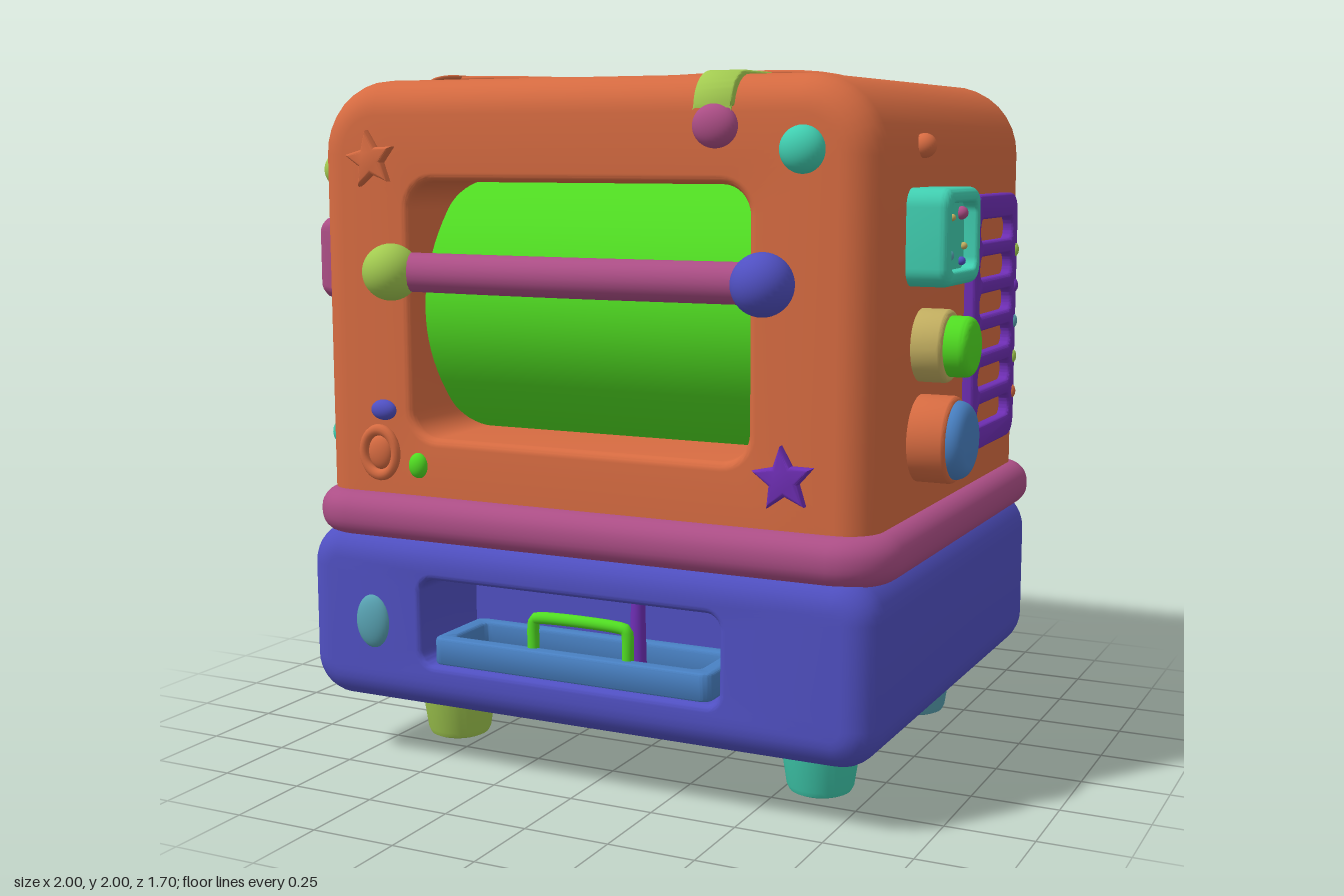
import * as THREE from 'three';
import { toCreasedNormals } from 'three/addons/utils/BufferGeometryUtils.js';

const palette = {
  orange: 0xd66b41, magenta: 0xac4e86, violet: 0x5050c2, lime: 0xa2ca50, green: 0x50dc22,
  teal: 0x40ceb0, blueTeal: 0x58a2b2, olive: 0xc2ae60, blue: 0x4880c2, purple: 0x6e2eb4,
};
const mats = {};
for (const [name, color] of Object.entries(palette)) {
  mats[name] = new THREE.MeshStandardMaterial({ color });
  mats[name].name = name;
}

function add(parent, name, color, geo, x = 0, y = 0, z = 0) {
  const m = new THREE.Mesh(geo, mats[color]);
  m.name = name;
  m.position.set(x, y, z);
  parent.add(m);
  return m;
}

// Skin through rounded rectangles [w, h, r, z, cx, cy]
function loft(rings) {
  const pos = [], idx = [], C = 8, N = 4 * (C + 1);
  for (const [w, h, r0, z, cx = 0, cy = 0] of rings) {
    const r = Math.max(0.004, Math.min(r0, w / 2 - 0.001, h / 2 - 0.001));
    for (let q = 0; q < 4; q++) for (let k = 0; k <= C; k++) {
      const a = (q + k / C) * Math.PI / 2;
      const sx = q === 0 || q === 3 ? 1 : -1, sy = q < 2 ? 1 : -1;
      pos.push(cx + sx * (w / 2 - r) + r * Math.cos(a), cy + sy * (h / 2 - r) + r * Math.sin(a), z);
    }
  }
  const L = rings.length;
  for (let i = 0; i < L - 1; i++) for (let j = 0; j < N; j++) {
    const k = (j + 1) % N, a = i * N + j, b = i * N + k;
    idx.push(a, b, b + N, a, b + N, a + N);
  }
  const first = rings[0], last = rings[L - 1];
  pos.push(first[4] || 0, first[5] || 0, first[3], last[4] || 0, last[5] || 0, last[3]);
  for (let j = 0; j < N; j++) {
    const k = (j + 1) % N;
    idx.push(L * N, k, j, L * N + 1, (L - 1) * N + j, (L - 1) * N + k);
  }
  const g = new THREE.BufferGeometry();
  g.setAttribute('position', new THREE.Float32BufferAttribute(pos, 3));
  g.setIndex(idx);
  return toCreasedNormals(g, 0.4);
}

// Rounded block along z, with an optional soft-lipped pocket in its front
function slab(w, h, r, z0, z1, b, hole) {
  const rings = [], S = 7;
  const turn = (s, from, to, zc, out) => {
    for (let i = 0; i <= S; i++) {
      const t = (from + (to - from) * i / S) * Math.PI / 2;
      const d = s * (1 - Math.cos(t));
      rings.push([out.w - 2 * d, out.h - 2 * d, out.r - d, zc + Math.abs(s) * Math.sin(t), out.x, out.y]);
    }
  };
  const outer = { w, h, r, x: 0, y: 0 };
  turn(b, -1, 0, z0 + b, outer);
  turn(b, 0, 1, z1 - b, outer);
  if (hole) {
    turn(-hole.lip, 1, 0, z1 - hole.lip, hole);
    rings.push([hole.w, hole.h, hole.r, z1 - hole.depth, hole.x, hole.y]);
  }
  return loft(rings);
}

function roundRect(Type, w, h, r, x = 0, y = 0) {
  const s = new Type(), q = Math.PI / 2;
  s.absarc(x + w / 2 - r, y + h / 2 - r, r, 0, q);
  s.absarc(x - w / 2 + r, y + h / 2 - r, r, q, 2 * q);
  s.absarc(x - w / 2 + r, y - h / 2 + r, r, 2 * q, 3 * q);
  s.absarc(x + w / 2 - r, y - h / 2 + r, r, 3 * q, 4 * q);
  s.closePath();
  return s;
}

function extrude(shape, depth, b) {
  return toCreasedNormals(new THREE.ExtrudeGeometry(shape, {
    depth: depth - 2 * b, bevelEnabled: b > 0, bevelSize: b, bevelThickness: b,
    bevelOffset: -b, bevelSegments: 4, curveSegments: 8,
  }).translate(0, 0, b), 0.6);
}

function ball(parent, name, color, x, y, z, rx, ry = rx, rz = rx) {
  add(parent, name, color, new THREE.SphereGeometry(1, 32, 20), x, y, z).scale.set(rx, ry, rz);
}

function tube(points, r) {
  const curve = new THREE.CatmullRomCurve3(points.map(p => new THREE.Vector3(...p)), false, 'centripetal');
  return new THREE.TubeGeometry(curve, 40, r, 20);
}

// Knob turned around local z
function knob(parent, name, color, r, len, b, x, y, z) {
  const pts = [new THREE.Vector2(r, 0)];
  for (let i = 0; i <= 6; i++) {
    const t = i / 6 * Math.PI / 2;
    pts.push(new THREE.Vector2(r - b + b * Math.cos(t), len - b + b * Math.sin(t)));
  }
  pts.push(new THREE.Vector2(0, len + 0.003));
  const g = toCreasedNormals(new THREE.LatheGeometry(pts, 40).rotateX(Math.PI / 2), 0.5);
  add(parent, name, color, g, x, y, z);
}

function star(R) {
  const s = new THREE.Shape();
  for (let i = 0; i < 10; i++) {
    const a = Math.PI / 2 + i * Math.PI / 5, r = i % 2 ? R * 0.48 : R;
    s[i ? 'lineTo' : 'moveTo'](r * Math.cos(a), r * Math.sin(a));
  }
  s.closePath();
  return extrude(s, 0.035, 0.012);
}

// Side vent frame with six slots
function vent(parent, name, color, x, w) {
  const s = roundRect(THREE.Shape, w, 0.75, 0.06);
  for (let i = 0; i < 6; i++) s.holes.push(roundRect(THREE.Path, w - 0.1, 0.066, 0.03, 0, 0.27 - i * 0.109));
  add(parent, name, color, extrude(s, 0.06, 0.012), x, 1.285, 0.82);
}

export function createModel() {
  const g = new THREE.Group();
  const side = (name, angle) => {
    const s = new THREE.Group();
    s.name = name;
    s.rotation.y = angle;
    g.add(s);
    return s;
  };

  // Main housing, trim band and base
  add(g, 'housing', 'orange', slab(1.715, 1.385, 0.21, -0.7, 0.68, 0.1,
    { w: 1.05, h: 0.73, r: 0.08, x: -0.013, y: 0.0425, depth: 0.34, lip: 0.025 }), -0.012, 1.2925, 0);
  add(g, 'trimBand', 'magenta', slab(1.815, 1.5, 0.16, 0, 0.135, 0.062), -0.003, 0.667, -0.01).rotation.x = -Math.PI / 2;
  add(g, 'base', 'violet', slab(1.78, 0.52, 0.12, -0.75, 0.74, 0.09,
    { w: 0.94, h: 0.25, r: 0.04, x: -0.015, y: 0.005, depth: 0.3, lip: 0.02 }), -0.01, 0.44, 0);

  // Bulging window
  const glass = new THREE.PlaneGeometry(1.06, 0.74, 4, 24), p = glass.attributes.position;
  for (let i = 0; i < p.count; i++) p.setZ(i, -0.22 * (p.getY(i) / 0.37) ** 2);
  glass.computeVertexNormals();
  add(g, 'window', 'green', glass, -0.025, 1.335, 0.6);

  // Door bar with end balls
  add(g, 'doorBar', 'magenta', tube([[-0.55, 1.45, 0.735], [0.01, 1.45, 0.757], [0.57, 1.45, 0.735]], 0.055));
  ball(g, 'barEndRight', 'lime', -0.555, 1.45, 0.76, 0.08);
  ball(g, 'barEndLeft', 'violet', 0.575, 1.45, 0.76, 0.083);

  // Feet
  for (const [x, z, c] of [[-0.6, 0.38, 'lime'], [0.6, 0.38, 'teal'], [0.6, -0.45, 'blueTeal'], [-0.6, -0.45, 'purple']]) {
    const pts = [[0, 0], [0.075, 0], [0.088, 0.006], [0.096, 0.022], [0.128, 0.23]].map(v => new THREE.Vector2(...v));
    add(g, 'foot', c, toCreasedNormals(new THREE.LatheGeometry(pts, 32), 0.6), x, 0, z);
  }

  // Strap over the top
  const strap = new THREE.Shape();
  strap.moveTo(-0.7, 1.9);
  strap.lineTo(0.735, 1.82);
  strap.absarc(0.635, 1.895, 0.1, 0, Math.PI / 2);
  strap.absarc(-0.6, 1.895, 0.1, Math.PI / 2, Math.PI);
  strap.closePath();
  add(g, 'strap', 'lime', extrude(strap, 0.11, 0.008), 0.35, 0, 0).rotation.y = Math.PI / 2;

  // Seams of the lid
  add(g, 'lidSeam', 'orange', tube([[-0.53, 1.9, 0.665], [-0.53, 1.979, 0.58], [-0.53, 1.982, 0], [-0.53, 1.979, -0.6], [-0.53, 1.9, -0.69]], 0.006));
  add(g, 'hoodSeam', 'orange', tube([[-0.85, 1.82, 0.33], [-0.79, 1.925, 0.37], [-0.66, 1.982, 0.41], [0, 1.982, 0.42],
    [0.63, 1.982, 0.41], [0.765, 1.925, 0.37], [0.835, 1.82, 0.33]], 0.007));

  // Front ornaments
  ball(g, 'strapButton', 'magenta', 0.41, 1.85, 0.69, 0.063, 0.058, 0.04);
  ball(g, 'cornerButton', 'teal', 0.65, 1.79, 0.68, 0.062, 0.062, 0.05);
  ball(g, 'ovalButton', 'violet', -0.645, 1.045, 0.68, 0.042, 0.03, 0.025);
  ball(g, 'smallButton', 'green', -0.53, 0.89, 0.68, 0.03, 0.037, 0.025);
  ball(g, 'baseButton', 'blueTeal', -0.66, 0.43, 0.735, 0.057, 0.08, 0.03);
  add(g, 'star', 'orange', star(0.085), -0.665, 1.76, 0.67).rotation.z = 0.15;
  add(g, 'star', 'purple', star(0.09), 0.61, 0.94, 0.675).rotation.z = 0.1;
  const ring = add(g, 'ringBadge', 'orange', new THREE.TorusGeometry(0.055, 0.014, 12, 36), -0.66, 0.92, 0.685);
  ring.scale.y = 1.2;
  ball(g, 'ringCentre', 'orange', -0.66, 0.92, 0.68, 0.04, 0.05, 0.02);

  // Drawer tray, its handle and the peg behind
  const tray = roundRect(THREE.Shape, 0.88, 0.26, 0.03);
  tray.holes.push(roundRect(THREE.Path, 0.78, 0.17, 0.02));
  add(g, 'tray', 'blue', extrude(tray, 0.08, 0.01), -0.03, 0.318, 0.59).rotation.x = -Math.PI / 2;
  add(g, 'trayHandle', 'green', tube([[-0.155, 0.39, 0.68], [-0.155, 0.46, 0.68], [-0.15, 0.48, 0.68], [-0.13, 0.485, 0.68],
    [0.12, 0.485, 0.68], [0.14, 0.48, 0.68], [0.145, 0.46, 0.68], [0.145, 0.39, 0.68]], 0.017));
  add(g, 'peg', 'purple', new THREE.CylinderGeometry(0.02, 0.025, 0.22, 20), 0.1, 0.43, 0.53);
  add(g, 'pegCap', 'purple', new THREE.CylinderGeometry(0.04, 0.03, 0.03, 20), 0.1, 0.545, 0.53);

  // Model's left side (local x = -z, local z = x)
  const L = side('leftSide', Math.PI / 2);
  vent(L, 'leftVent', 'purple', 0.31, 0.44);
  ['lime', 'purple', 'blueTeal', 'lime', 'orange'].forEach((c, i) =>
    ball(L, 'ventBead', c, 0.51, 1.485 - i * 0.11, 0.875, 0.014, 0.022, 0.014));
  add(L, 'dialPlate', 'teal', slab(0.31, 0.26, 0.05, 0.8, 0.96, 0.025,
    { w: 0.23, h: 0.18, r: 0.03, x: 0, y: 0, depth: 0.04, lip: 0.01 }), -0.285, 1.56, 0);
  for (const [x, y, r, c] of [[-0.375, 1.62, 0.018, 'purple'], [-0.295, 1.61, 0.01, 'olive'], [-0.21, 1.62, 0.018, 'magenta'],
    [-0.325, 1.51, 0.016, 'blueTeal'], [-0.205, 1.49, 0.012, 'violet'], [-0.185, 1.53, 0.01, 'olive']]) ball(L, 'plateBead', c, x, y, 0.925, r);
  knob(L, 'upperKnobBase', 'olive', 0.1, 0.11, 0.015, -0.29, 1.265, 0.82);
  knob(L, 'upperKnob', 'green', 0.083, 0.1, 0.025, -0.29, 1.265, 0.895);
  knob(L, 'lowerKnobBase', 'orange', 0.12, 0.13, 0.015, -0.29, 1.01, 0.82);
  knob(L, 'lowerKnob', 'blue', 0.108, 0.07, 0.04, -0.29, 1.01, 0.92);
  ball(L, 'sideBead', 'orange', -0.31, 1.8, 0.85, 0.033);

  // Model's right side (local x = z, local z = -x)
  const R = side('rightSide', -Math.PI / 2);
  vent(R, 'rightVent', 'green', -0.13, 0.52);
  for (const m of R.children) m.position.z = 0.845;
  add(R, 'socketPlate', 'magenta', loft([[0.25, 0.28, 0.05, 0.8], [0.25, 0.28, 0.05, 0.89], [0.21, 0.24, 0.04, 0.985],
    [0.19, 0.22, 0.035, 1], [0.13, 0.15, 0.03, 1], [0.12, 0.14, 0.03, 0.94]]), 0.39, 1.465, 0);
  [['teal', -0.03, 0.03], ['orange', 0.03, 0.02], ['violet', 0, -0.035]].forEach(([c, x, y]) =>
    ball(R, 'socketBead', c, 0.39 + x, 1.465 + y, 0.95, 0.018));
  add(R, 'sidePlate', 'purple', slab(0.24, 0.21, 0.03, 0.84, 0.895, 0.012), 0.36, 0.94, 0);
  ball(R, 'sideBall', 'teal', 0.5, 0.94, 0.905, 0.047);
  ball(R, 'sideBall', 'lime', 0.49, 1.73, 0.905, 0.057);

  // Back (local x = -x, local z = -z)
  const B = side('back', Math.PI);
  add(B, 'grilleFrame', 'blueTeal', slab(1.27, 0.75, 0.07, 0.66, 0.82, 0.03,
    { w: 1.09, h: 0.57, r: 0.03, x: 0, y: 0, depth: 0.11, lip: 0.015 }), -0.015, 1.325, 0);
  const panel = roundRect(THREE.Shape, 1.08, 0.56, 0.03);
  for (let i = 0; i < 5; i++) panel.holes.push(roundRect(THREE.Path, 0.6, 0.03, 0.014, i % 2 ? 0.1 : -0.1, 0.2 - i * 0.1));
  add(B, 'grillePanel', 'olive', extrude(panel, 0.03, 0), -0.015, 1.325, 0.715);
  for (let i = 0; i < 6; i++) {
    const slat = add(B, 'grilleSlat', 'olive', slab(1.08, 0.06, 0.012, -0.012, 0.012, 0.01), -0.015, 1.575 - i * 0.1, 0.765);
    slat.rotation.x = -0.65;
  }
  for (const [x, y] of [[-0.35, 1.13], [0.28, 1.12], [0.38, 1.13]]) ball(B, 'grilleBead', 'blueTeal', x, y, 0.765, 0.022);
  for (const [x, y, z, r, c] of [[-0.65, 1.79, 0.71, 0.06, 'purple'], [-0.25, 1.79, 0.72, 0.06, 'olive'], [0.66, 1.79, 0.71, 0.06, 'green'],
    [-0.74, 0.5, 0.77, 0.08, 'blueTeal'], [0.74, 0.5, 0.77, 0.083, 'magenta']]) ball(B, 'backBall', c, x, y, z, r);
  return g;
}
